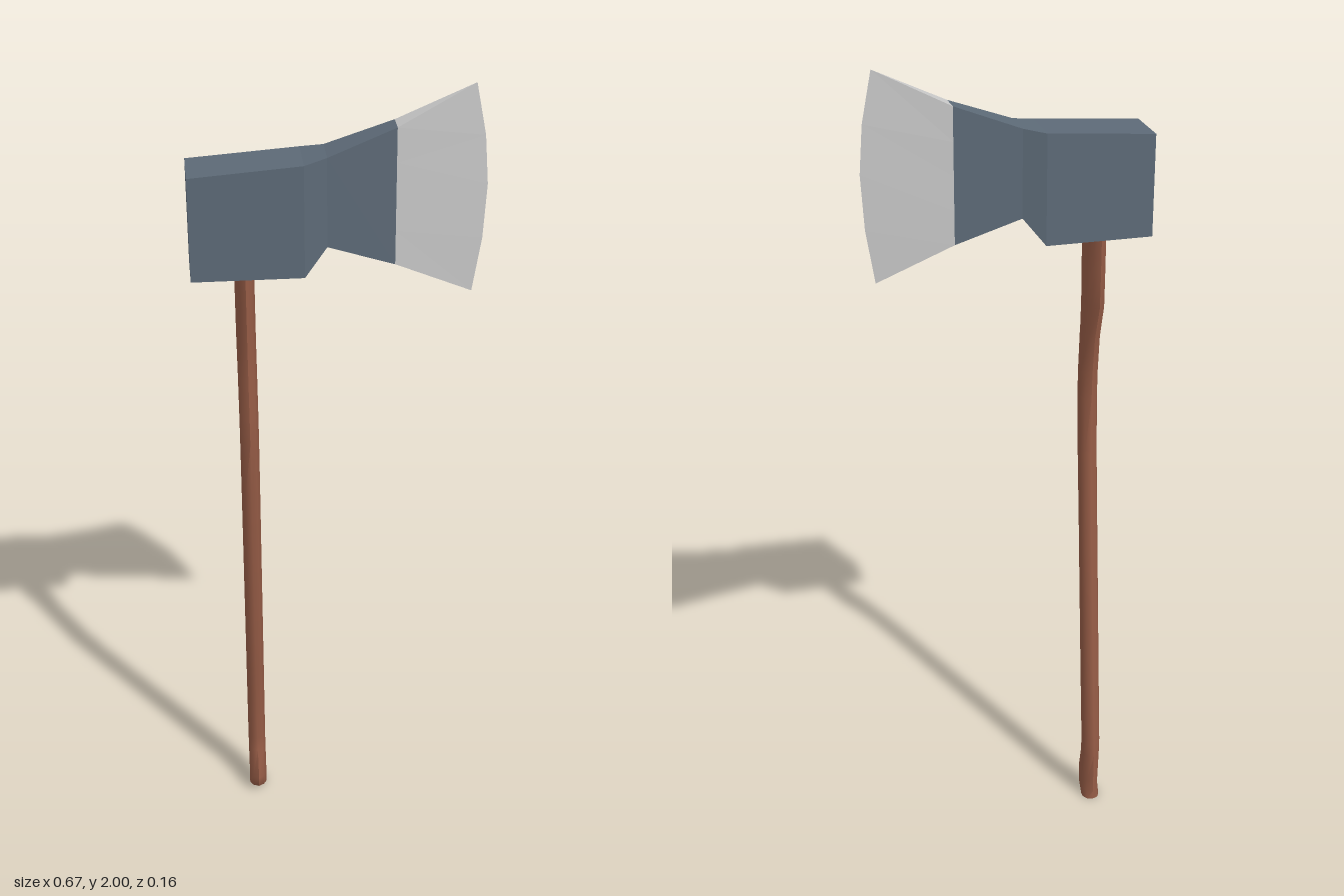
import * as THREE from 'three';
import { toCreasedNormals } from 'three/addons/utils/BufferGeometryUtils.js';

// Skin matching cross-sections, each counterclockwise about the loft direction.
function loft(rings, capStart, capEnd) {
  const pos = [];
  const tri = (...pts) => pts.forEach((p) => pos.push(...p));
  const n = rings[0].length;
  for (let k = 0; k < rings.length - 1; k++) {
    const a = rings[k], b = rings[k + 1];
    for (let i = 0; i < n; i++) {
      const j = (i + 1) % n;
      tri(a[i], a[j], b[j]);
      tri(a[i], b[j], b[i]);
    }
  }
  const first = rings[0], last = rings[rings.length - 1];
  for (let i = 1; i < n - 1; i++) {
    if (capStart) tri(first[0], first[i + 1], first[i]);
    if (capEnd) tri(last[0], last[i], last[i + 1]);
  }
  const g = new THREE.BufferGeometry();
  g.setAttribute('position', new THREE.Float32BufferAttribute(pos, 3));
  g.computeVertexNormals();
  return g;
}

export function createModel() {
  const model = new THREE.Group();
  model.name = 'axe';
  const steel = new THREE.MeshStandardMaterial({ name: 'dark steel', color: 0x5d6a77 });
  const edge = new THREE.MeshStandardMaterial({ name: 'bare steel', color: 0xc8c8c8 });
  const wood = new THREE.MeshStandardMaterial({ name: 'brown wood', color: 0x965c46 });
  const add = (name, geometry, material) => {
    const mesh = new THREE.Mesh(geometry, material);
    mesh.name = name;
    model.add(mesh);
  };

  // Head: [x, bottom y, top y, back z, front z]
  const headSections = [
    [-0.337, 1.58, 1.825, -0.04, 0.082],
    [-0.082, 1.58, 1.845, -0.035, 0.084],
    [-0.03, 1.645, 1.855, -0.017, 0.067],
    [0.125, 1.59, 1.913, 0.001, 0.053],
  ];
  const headRings = headSections.map(([x, y0, y1, z0, z1]) =>
    [[x, y1, z0], [x, y1, z1], [x, y0, z1], [x, y0, z0]]);
  add('head', loft(headRings, true, true), steel);

  // Blade: wedge from the head to a curved cutting edge, rows from top to bottom
  const cut = [[0.3, 2], [0.324, 1.88], [0.333, 1.765], [0.326, 1.635], [0.306, 1.505]];
  const rootSide = (z) => cut.map((_, i) => [0.125, 1.913 - 0.323 * i / 4, z]);
  const cutSide = cut.map(([x, y]) => [x, y, 0.029]);
  add('blade', loft([
    [...rootSide(0.053), ...rootSide(0.001).reverse()],
    [...cutSide, ...[...cutSide].reverse()],
  ], false, false), edge);

  // Handle: [y, back z, front z] along the curved grip
  const grip = [
    [0, -0.08, -0.03], [0.025, -0.081, 0], [0.06, -0.081, 0.009], [0.14, -0.081, -0.013],
    [0.18, -0.081, -0.016], [0.4, -0.058, 0.007], [0.6, -0.037, 0.026], [0.8, -0.015, 0.044],
    [1, 0.004, 0.066], [1.15, 0.01, 0.08], [1.22, 0.008, 0.08], [1.32, -0.005, 0.075],
    [1.41, -0.035, 0.075], [1.5, -0.037, 0.078], [1.7, -0.037, 0.078],
  ];
  const half = [[0, 1], [0.65, 0.8], [1, 0.28], [1, -0.28], [0.65, -0.8], [0, -1]];
  const outline = [...half, ...half.slice(1, -1).reverse().map(([x, z]) => [-x, z])];
  const handleRings = grip.map(([y, z0, z1]) =>
    outline.map(([u, v]) => [-0.215 + u * 0.022, y, (z0 + z1) / 2 + v * (z1 - z0) / 2]));
  add('handle', toCreasedNormals(loft(handleRings, true, true), 0.9), wood);

  return model;
}
